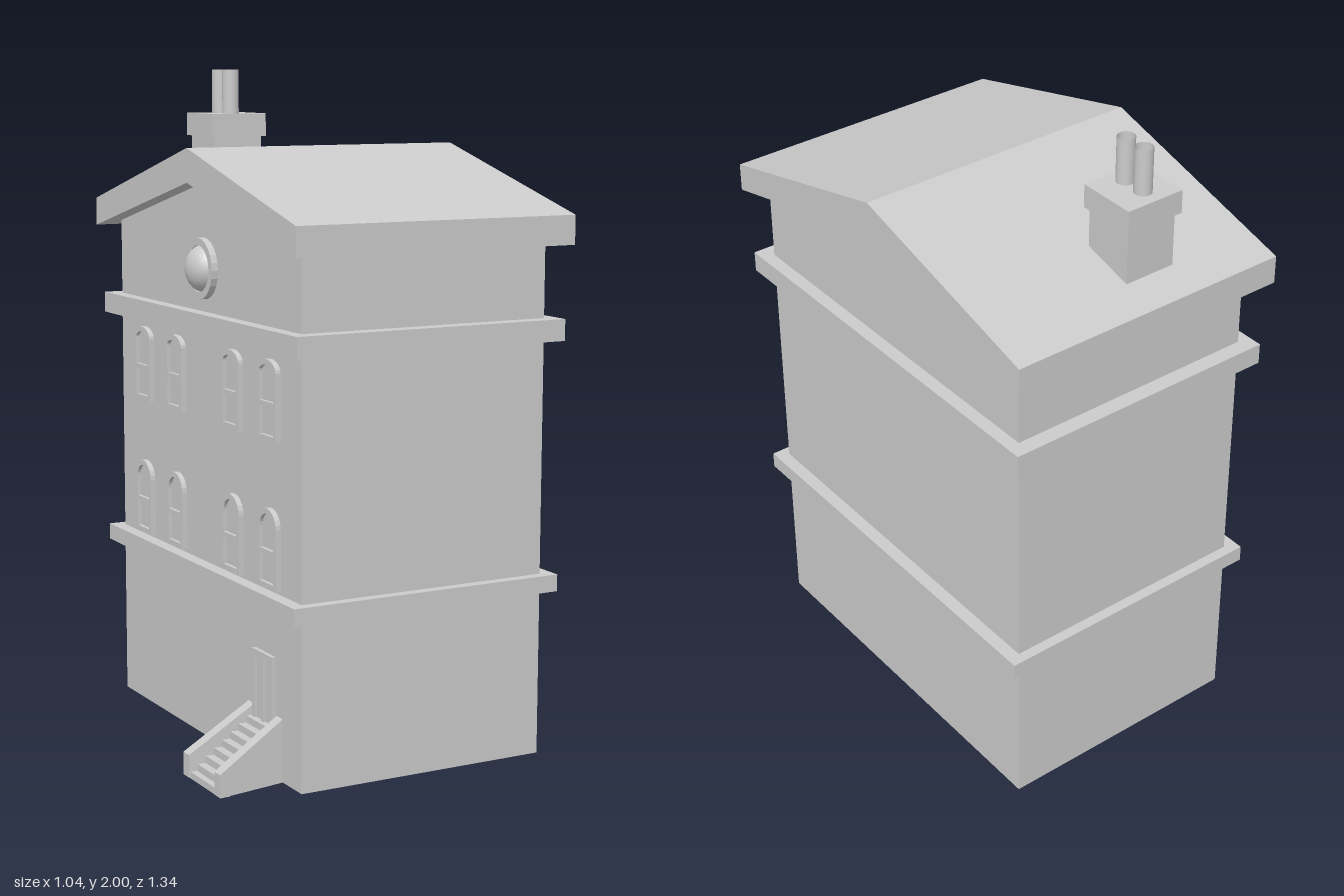
import * as THREE from 'three';

const grey = new THREE.MeshStandardMaterial({ color: 0xcccccc });
const sheet = new THREE.MeshStandardMaterial({ color: 0xcccccc, side: THREE.DoubleSide });

// House outline: wall planes and the face carrying the windows
const WALL = { x0: -0.32, x1: 0.465, z: 0.6, y0: 0.015, eave: 1.535, ridge: 1.685 };
const MID_X = (WALL.x0 + WALL.x1) / 2;

function add(parent, name, geometry, material = grey) {
  const mesh = new THREE.Mesh(geometry, material);
  mesh.name = name;
  parent.add(mesh);
  return mesh;
}

function box(parent, name, x0, x1, y0, y1, z0, z1) {
  const mesh = add(parent, name, new THREE.BoxGeometry(x1 - x0, y1 - y0, z1 - z0));
  mesh.position.set((x0 + x1) / 2, (y0 + y1) / 2, (z0 + z1) / 2);
  return mesh;
}

const polygon = (points) => new THREE.Shape(points.map(([a, b]) => new THREE.Vector2(a, b)));

// Extrudes a (z, y) outline from plane x towards -x
function extrudeX(shape, x, depth) {
  const g = new THREE.ExtrudeGeometry(shape, { depth, bevelEnabled: false, curveSegments: 12 });
  return g.rotateY(-Math.PI / 2).translate(x, 0, 0);
}

// Upright outline with an arched head of the given rise
function archShape(w, y0, y1, rise) {
  const pts = [[-w / 2, y0], [w / 2, y0]];
  for (let i = 0; i <= 12; i++) {
    const a = (i / 12) * Math.PI;
    pts.push([Math.cos(a) * w / 2, y1 - rise + Math.sin(a) * rise]);
  }
  return polygon(pts);
}

const rect = (x0, x1, y0, y1) => polygon([[x0, y0], [x1, y0], [x1, y1], [x0, y1]]);

// Open-bottomed shell with gabled sides
function walls(parent) {
  const h = WALL.eave - WALL.y0;
  const g = new THREE.BoxGeometry(WALL.x1 - WALL.x0, h, WALL.z * 2, 1, 1, 2);
  const p = g.attributes.position;
  for (let i = 0; i < p.count; i++) {
    if (p.getY(i) > 0 && Math.abs(p.getZ(i)) < 0.01) p.setY(i, h / 2 + WALL.ridge - WALL.eave);
  }
  const kept = g.groups.filter((s) => s.materialIndex !== 2 && s.materialIndex !== 3);
  const index = Array.from(g.index.array);
  g.setIndex(kept.flatMap((s) => index.slice(s.start, s.start + s.count)));
  g.clearGroups();
  add(parent, 'walls', g, sheet).position.set(MID_X, WALL.y0 + h / 2, 0);
}

// Ring moulding projecting inside and outside the walls
function band(parent, name, y0, y1, zHalf) {
  const shape = rect(-0.36, 0.505, -zHalf, zHalf);
  shape.holes.push(rect(WALL.x0 + 0.03, WALL.x1 - 0.03, -WALL.z + 0.03, WALL.z - 0.03));
  const g = new THREE.ExtrudeGeometry(shape, { depth: y1 - y0, bevelEnabled: false });
  add(parent, name, g.rotateX(Math.PI / 2).translate(0, y1, 0));
}

// Arched sash window: frame, glass and sill
function sashWindow(parent, z, y0, y1, rise) {
  const win = new THREE.Group();
  win.name = 'window';
  const w = 0.115, t = 0.016, rail = y0 + (y1 - y0) * 0.45;
  const frame = archShape(w, y0, y1, rise);
  frame.holes.push(rect(-w / 2 + t, w / 2 - t, y0 + t, rail - t / 2));
  frame.holes.push(archShape(w - 2 * t, rail + t / 2, y1 - t, Math.max(rise - t, 0.01)));
  add(win, 'windowFrame', extrudeX(frame, WALL.x0, 0.016));
  add(win, 'windowGlass', extrudeX(archShape(w - t, y0 + t / 2, y1 - t / 2, rise - t / 2), WALL.x0, 0.005));
  win.position.z = z;
  parent.add(win);
}

// Domed round window with a ring frame
function roundWindow(parent) {
  const win = new THREE.Group();
  win.name = 'roundWindow';
  const ring = new THREE.Shape().absarc(0, 0, 0.09, 0, Math.PI * 2);
  ring.holes.push(new THREE.Path().absarc(0, 0, 0.068, 0, Math.PI * 2, true));
  add(win, 'roundFrame', extrudeX(ring, 0, 0.02));
  const dome = new THREE.SphereGeometry(0.07, 24, 8, 0, Math.PI * 2, 0, Math.PI / 2);
  add(win, 'roundGlass', dome.scale(1, 0.055 / 0.07, 1).rotateZ(Math.PI / 2));
  win.position.set(WALL.x0, 1.43, 0);
  parent.add(win);
}

function door(parent) {
  const shape = rect(0.32, 0.445, 0.11, 0.37);
  shape.holes.push(rect(0.337, 0.376, 0.13, 0.353), rect(0.389, 0.428, 0.13, 0.353));
  add(parent, 'doorFrame', extrudeX(shape, WALL.x0, 0.012));
  box(parent, 'doorPanel', WALL.x0 - 0.004, WALL.x0 + 0.004, 0.11, 0.37, 0.32, 0.445);
}

function stairs(parent) {
  const group = new THREE.Group();
  group.name = 'frontStairs';
  // Stepped flight with a sloping underside
  const n = 7, x0 = -0.495, run = (WALL.x0 - x0) / n, y0 = 0.02, riser = 0.021;
  const pts = [[x0, y0]];
  for (let i = 0; i < n; i++) {
    pts.push([x0 + i * run, y0 + (i + 1) * riser], [x0 + (i + 1) * run, y0 + (i + 1) * riser]);
  }
  pts.push([WALL.x0, y0 + (n - 1) * riser], [x0 + run, y0]);
  const steps = new THREE.ExtrudeGeometry(polygon(pts), { depth: 0.16, bevelEnabled: false });
  add(group, 'steps', steps.translate(0, 0, 0.297));
  // Side walls, splayed slightly at the foot
  const side = polygon([[-0.52, 0.003], [WALL.x0, 0.015], [WALL.x0, 0.2], [-0.52, 0.07]]);
  for (const [name, z, splay] of [['stairWallRight', 0.275, -0.02], ['stairWallLeft', 0.45, 0.007]]) {
    const g = new THREE.ExtrudeGeometry(side, { depth: 0.037, bevelEnabled: false });
    const p = g.attributes.position;
    for (let i = 0; i < p.count; i++) {
      p.setZ(i, p.getZ(i) + z + splay * (WALL.x0 - p.getX(i)) / 0.2);
    }
    g.computeVertexNormals();
    add(group, name, g);
  }
  // Foot plate resting on the ground
  box(group, 'footPlate', -0.515, -0.485, 0, 0.02, 0.258, 0.485);
  parent.add(group);
}

function chimney(parent) {
  const group = new THREE.Group();
  group.name = 'chimney';
  box(group, 'chimneyStack', -0.09, 0.072, 1.6, 1.8, -0.562, -0.402);
  box(group, 'chimneyCap', -0.1, 0.086, 1.795, 1.865, -0.578, -0.395);
  for (const z of [-0.447, -0.52]) {
    const pot = new THREE.CylinderGeometry(0.026, 0.026, 0.145, 20, 1, true);
    add(group, 'chimneyPot', pot, sheet).position.set(-0.011, 1.9275, z);
  }
  parent.add(group);
}

export function createModel() {
  const model = new THREE.Group();
  model.name = 'townHouse';
  walls(model);
  band(model, 'lowerBand', 0.505, 0.555, 0.632);
  band(model, 'upperBand', 1.24, 1.303, 0.648);

  // Gabled roof slab
  const roof = polygon([[-0.67, 1.515], [0, 1.68], [0.67, 1.515], [0.67, 1.6], [0, 1.78], [-0.67, 1.6]]);
  add(model, 'roof', extrudeX(roof, 0.518, 0.893));

  for (const z of [-0.42, -0.19, 0.19, 0.42]) {
    sashWindow(model, z, 0.565, 0.795, 0.055);
    sashWindow(model, z, 0.985, 1.215, 0.035);
  }
  roundWindow(model);
  door(model);
  stairs(model);
  chimney(model);
  return model;
}
